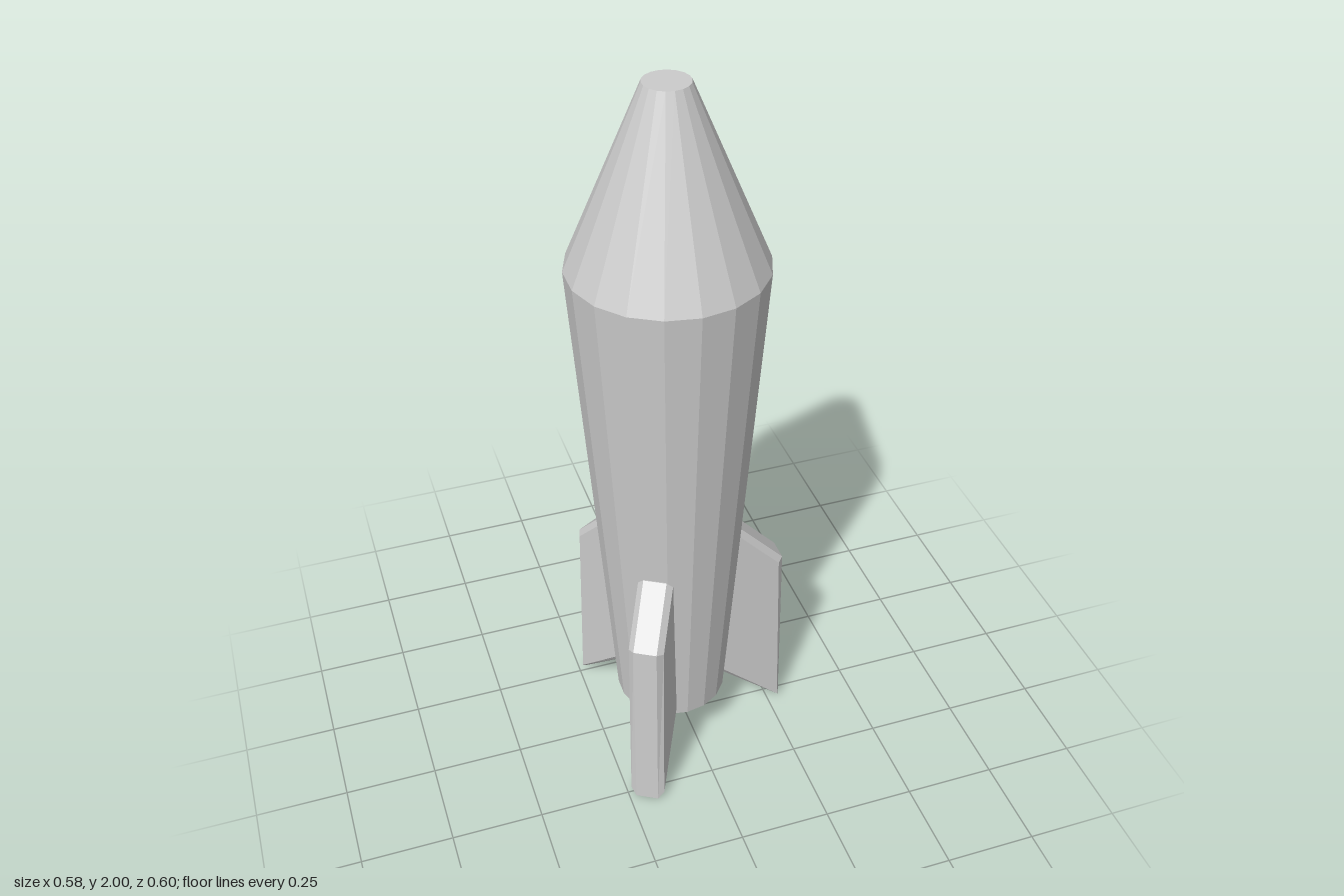
import * as THREE from 'three';

export function createModel() {
  const model = new THREE.Group();
  model.name = 'rocket';
  const material = new THREE.MeshStandardMaterial({ color: 0xcccccc, flatShading: true });
  const axisX = -0.041; // the three fins are centred on x, so the axis sits off centre
  const sides = 18;

  function addSection(name, topRadius, bottomRadius, bottom, top) {
    const geometry = new THREE.CylinderGeometry(topRadius, bottomRadius, top - bottom, sides, 1, true);
    const mesh = new THREE.Mesh(geometry, material);
    mesh.name = name;
    mesh.position.set(axisX, (top + bottom) / 2, 0);
    model.add(mesh);
  }

  function addCap(name, radius, y, tilt) {
    const geometry = new THREE.CircleGeometry(radius, sides);
    geometry.rotateZ(Math.PI / 2);
    geometry.rotateX(tilt);
    const mesh = new THREE.Mesh(geometry, material);
    mesh.name = name;
    mesh.position.set(axisX, y, 0);
    model.add(mesh);
  }

  // Tapered body and blunt nose
  addSection('body', 0.252, 0.152, 0.155, 1.535);
  addSection('noseCone', 0.058, 0.252, 1.535, 2);
  addCap('noseTip', 0.058, 2, -Math.PI / 2);
  addCap('bodyBase', 0.152, 0.155, Math.PI / 2);

  // Swept fin with chamfered edges, rooted inside the body
  const outline = new THREE.Shape([
    [0.12, 0.178], [0.327, 0], [0.319, 0.55], [0.19, 0.688], [0.14, 0.688],
  ].map(([r, y]) => new THREE.Vector2(r, y)));
  const bevel = 0.016;
  const finGeometry = new THREE.ExtrudeGeometry(outline, {
    depth: 0.062, bevelEnabled: true, bevelSegments: 1,
    bevelThickness: bevel, bevelSize: bevel, bevelOffset: -bevel,
  });
  finGeometry.translate(0, 0, -0.031);

  for (let i = 0; i < 3; i++) {
    const fin = new THREE.Mesh(finGeometry, material);
    fin.name = ['leftFin', 'rearRightFin', 'frontRightFin'][i];
    fin.position.x = axisX;
    fin.rotation.y = (i * Math.PI * 2) / 3;
    model.add(fin);
  }
  return model;
}
